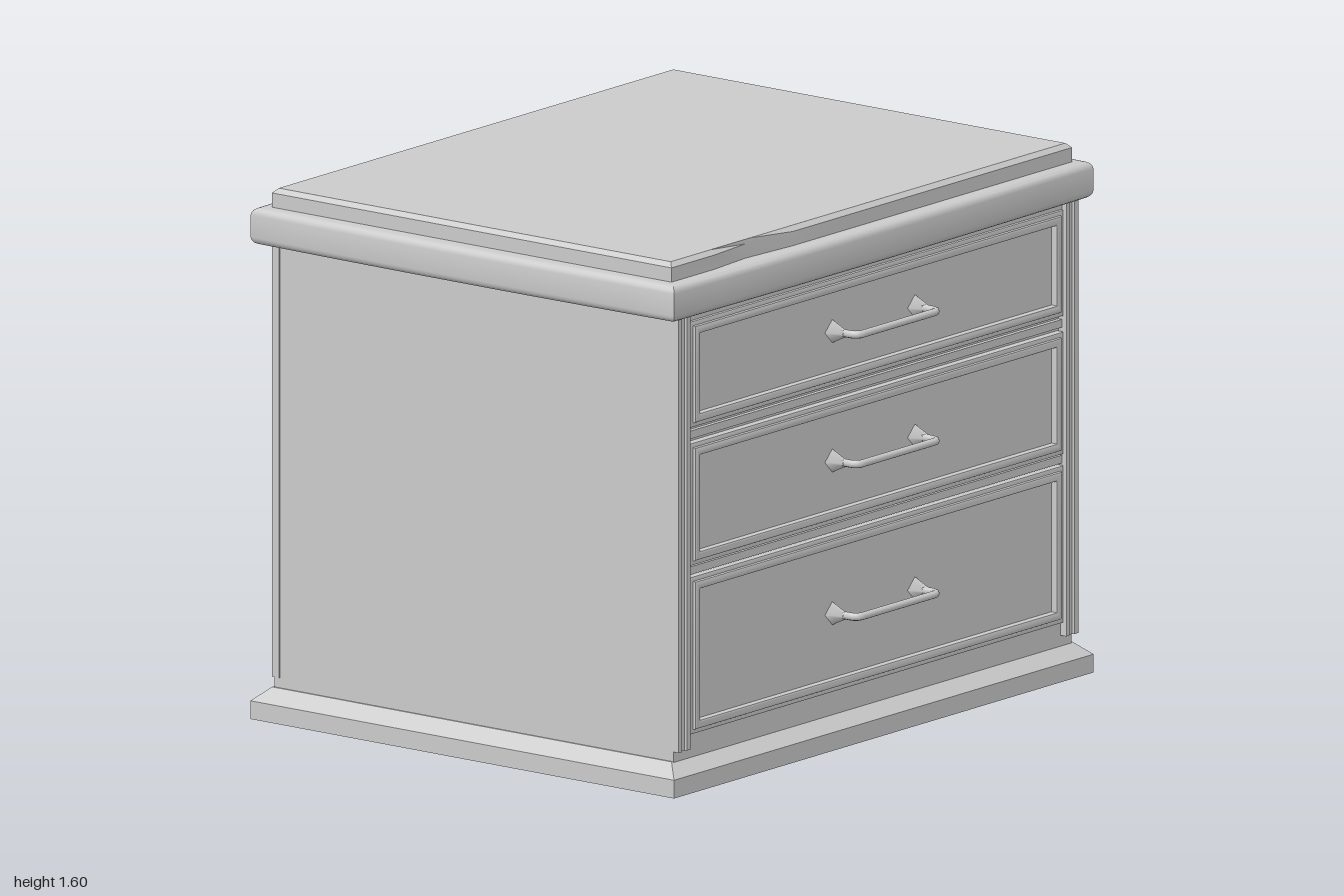
import * as THREE from 'three';
import { toCreasedNormals } from 'three/addons/utils/BufferGeometryUtils.js';

const CX = -0.03; // centre of the carcass in x; drawers face +x

export function createModel() {
  const model = new THREE.Group();
  model.name = 'drawerCabinet';
  const grey = new THREE.MeshStandardMaterial({ color: 0xcccccc });

  const add = (name, geometry, parent = model) => {
    const mesh = new THREE.Mesh(geometry, grey);
    mesh.name = name;
    parent.add(mesh);
    return mesh;
  };
  const box = (name, x0, x1, y0, y1, z0, z1, parent) =>
    add(name, new THREE.BoxGeometry(x1 - x0, y1 - y0, z1 - z0)
      .translate((x0 + x1) / 2, (y0 + y1) / 2, (z0 + z1) / 2), parent);

  // Rectangle whose sides swell outward by bow
  const bowedRect = (hx, hz, bow = 0) => {
    const s = new THREE.Shape();
    s.moveTo(-hx, -hz);
    s.quadraticCurveTo(0, -hz - 2 * bow, hx, -hz);
    s.quadraticCurveTo(hx + 2 * bow, 0, hx, hz);
    s.quadraticCurveTo(0, hz + 2 * bow, -hx, hz);
    s.quadraticCurveTo(-hx - 2 * bow, 0, -hx, -hz);
    return s;
  };
  const slab = (name, hx, hz, y0, y1, bevel, bow, segments) => {
    const g = new THREE.ExtrudeGeometry(bowedRect(hx - bevel, hz - bevel, bow), {
      depth: y1 - y0 - 2 * bevel, bevelSize: bevel, bevelThickness: bevel,
      bevelSegments: segments, curveSegments: 10,
    });
    g.rotateX(-Math.PI / 2).translate(CX, y0 + bevel, 0);
    return add(name, toCreasedNormals(g, 0.6));
  };

  // Plinth with a sloping top: a four-sided prism tapered above its band
  box('plinthBand', -0.82, 0.76, 0, 0.055, -0.99, 0.99);
  const slope = new THREE.BoxGeometry(1.58, 0.04, 1.98);
  const p = slope.attributes.position;
  for (let i = 0; i < p.count; i++) {
    if (p.getY(i) > 0) p.setXYZ(i, Math.sign(p.getX(i)) * 0.745, p.getY(i), Math.sign(p.getZ(i)) * 0.945);
  }
  slope.computeVertexNormals();
  add('plinthSlope', slope.translate(CX, 0.075, 0));

  // Carcass, moulded top and raised cover
  box('carcass', -0.77, 0.71, 0.09, 1.44, -0.94, 0.94);
  box('bottomRail', 0.70, 0.718, 0.09, 0.166, -0.94, 0.94);
  slab('topMoulding', 0.79, 0.99, 1.43, 1.54, 0.022, 0.01, 4);
  slab('topCover', 0.745, 0.945, 1.52, 1.597, 0.014, 0, 1);

  // Corner posts, each with a shallow groove in its face
  const postShape = (depth) => {
    const s = new THREE.Shape();
    [[0, 0.887], [depth, 0.887], [depth, 0.902], [depth - 0.006, 0.906],
      [depth - 0.006, 0.922], [depth, 0.926], [depth, 0.943], [0, 0.943]]
      .forEach(([x, y], i) => (i ? s.lineTo(x, y) : s.moveTo(x, y)));
    return s;
  };
  for (const [label, yaw, x, depth] of [['front', 0, 0.70, 0.04], ['back', Math.PI, -0.75, 0.026]]) {
    for (const side of [1, -1]) {
      const g = new THREE.ExtrudeGeometry(postShape(depth), { depth: 1.31, bevelEnabled: false });
      // The groove is symmetric enough to place the far post by a shift
      g.rotateX(-Math.PI / 2);
      if (side < 0) g.translate(0, 0, 1.83);
      const post = add(label + 'Post', g);
      post.rotation.y = yaw;
      post.position.set(x, 0.125, 0);
    }
  }

  // Drawer front: outer moulding, inner bead, panel and a bow handle
  const frame = (name, w, h, band, x0, depth, bevel, parent) => {
    const s = bowedRect(w - bevel, h - bevel);
    s.holes.push(bowedRect(w - band + bevel, h - band + bevel));
    const g = new THREE.ExtrudeGeometry(s, {
      depth: depth - bevel, bevelSize: bevel, bevelThickness: bevel, bevelSegments: 2, curveSegments: 1,
    });
    add(name, toCreasedNormals(g.rotateY(Math.PI / 2).translate(x0, 0, 0), 0.5), parent);
  };

  const handle = (parent) => {
    const V = (x, z) => new THREE.Vector3(x, 0, z);
    const path = new THREE.CurvePath();
    path.add(new THREE.LineCurve3(V(0.73, 0.193), V(0.787, 0.193)));
    path.add(new THREE.QuadraticBezierCurve3(V(0.787, 0.193), V(0.813, 0.193), V(0.813, 0.165)));
    path.add(new THREE.LineCurve3(V(0.813, 0.165), V(0.813, -0.165)));
    path.add(new THREE.QuadraticBezierCurve3(V(0.813, -0.165), V(0.813, -0.193), V(0.787, -0.193)));
    path.add(new THREE.LineCurve3(V(0.787, -0.193), V(0.73, -0.193)));
    add('handleBar', new THREE.TubeGeometry(path, 64, 0.012, 8), parent);
    for (const z of [0.195, -0.195]) {
      const foot = new THREE.CylinderGeometry(0.012, 0.036, 0.05, 4);
      add('handleFoot', foot.rotateZ(-Math.PI / 2).translate(0.745, 0, z), parent);
    }
  };

  for (const [label, y0, y1, handleY] of [
    ['top', 1.09, 1.41, 1.25], ['middle', 0.674, 1.043, 0.86], ['bottom', 0.166, 0.64, 0.40]]) {
    const drawer = new THREE.Group();
    drawer.name = label + 'Drawer';
    model.add(drawer);
    const h = (y1 - y0) / 2;
    drawer.position.y = (y0 + y1) / 2;
    box('drawerPanel', 0.70, 0.722, -h + 0.01, h - 0.01, -0.87, 0.87, drawer);
    frame('outerMoulding', 0.882, h, 0.024, 0.705, 0.028, 0.004, drawer);
    frame('innerBead', 0.866, h - 0.014, 0.026, 0.71, 0.032, 0.006, drawer);
    const pull = new THREE.Group();
    pull.name = 'handle';
    pull.position.y = handleY - drawer.position.y;
    drawer.add(pull);
    handle(pull);
  }

  // Rails between the drawers
  for (const y of [0.657, 1.066, 1.42]) box('drawerRail', 0.70, 0.724, y - 0.012, y + 0.012, -0.887, 0.887);

  return model;
}
